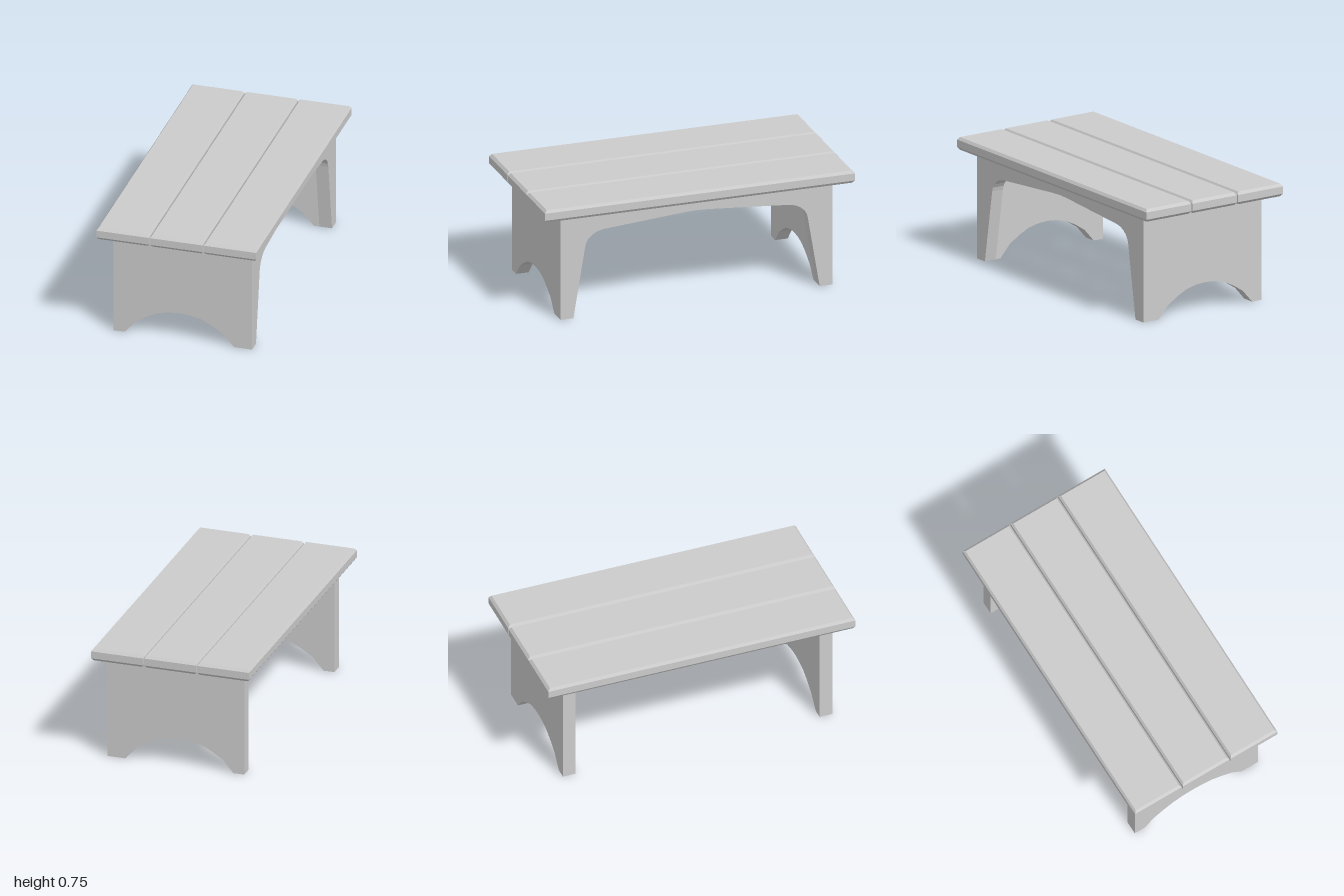
import * as THREE from 'three';
import { ConvexGeometry } from 'three/addons/geometries/ConvexGeometry.js';

const material = new THREE.MeshStandardMaterial({ color: 0xcccccc });

function addMesh(group, name, geometry) {
  const mesh = new THREE.Mesh(geometry, material);
  mesh.name = name;
  group.add(mesh);
  return mesh;
}

// Board with chamfered top and bottom edges.
function plankGeometry(width, height, length, bevelX, bevelY, bevelZ) {
  const points = [];
  for (const sx of [-1, 1]) for (const sy of [-1, 1]) for (const sz of [-1, 1]) {
    const x = width / 2, y = height / 2, z = length / 2;
    points.push(new THREE.Vector3(sx * (x - bevelX), sy * y, sz * (z - bevelZ)));
    points.push(new THREE.Vector3(sx * x, sy * (y - bevelY), sz * z));
  }
  return new ConvexGeometry(points);
}

function extrude(points, depth) {
  const shape = new THREE.Shape(points.map(([x, y]) => new THREE.Vector2(x, y)));
  return new THREE.ExtrudeGeometry(shape, { depth, bevelEnabled: false });
}

export function createModel() {
  const group = new THREE.Group();
  group.name = 'bench';
  const seatBottom = 0.67, apronX = 0.365, outerZ = 0.877, legThickness = 0.082;

  // Three seat planks with narrow gaps
  for (const i of [-1, 0, 1]) {
    const plank = addMesh(group, 'seatPlank', plankGeometry(0.334, 0.08, 2, 0.012, 0.017, 0.015));
    plank.position.set(i * 0.341, seatBottom + 0.04, 0);
  }

  // End panels with an arched cut-out between the feet
  const archCentre = -0.0175;
  const halfArch = [[0.3475, 0], [0.2775, 0.08], [0.205, 0.126], [0.138, 0.159], [0.07, 0.175]];
  const arch = [
    ...halfArch.map(([x, y]) => [archCentre - x, y]),
    ...halfArch.slice().reverse().map(([x, y]) => [archCentre + x, y]),
  ];
  arch.splice(halfArch.length, 0, [archCentre, 0.18]);
  const panel = [[-0.435, 0], ...arch, [apronX, 0], [apronX, seatBottom], [-0.435, seatBottom]];
  for (const [name, z] of [['frontLeg', outerZ - legThickness], ['backLeg', -outerZ]]) {
    addMesh(group, name, extrude(panel, legThickness)).position.z = z;
  }

  // Side apron on the left only, running down both legs
  const inner = [
    [0.795, 0], [0.718, 0.46], [0.711, 0.485], [0.695, 0.51], [0.67, 0.532],
    [0.64, 0.548], [0.605, 0.557], [0.1, 0.597], [0.05, 0.6],
  ];
  const apron = [
    [-outerZ, 0],
    ...inner.map(([z, y]) => [-z, y]),
    [0, 0.602],
    ...inner.slice().reverse(),
    [outerZ, 0], [outerZ, seatBottom], [-outerZ, seatBottom],
  ];
  const apronGeometry = extrude(apron, 0.08).rotateY(Math.PI / 2);
  addMesh(group, 'sideApron', apronGeometry).position.x = apronX;

  return group;
}
